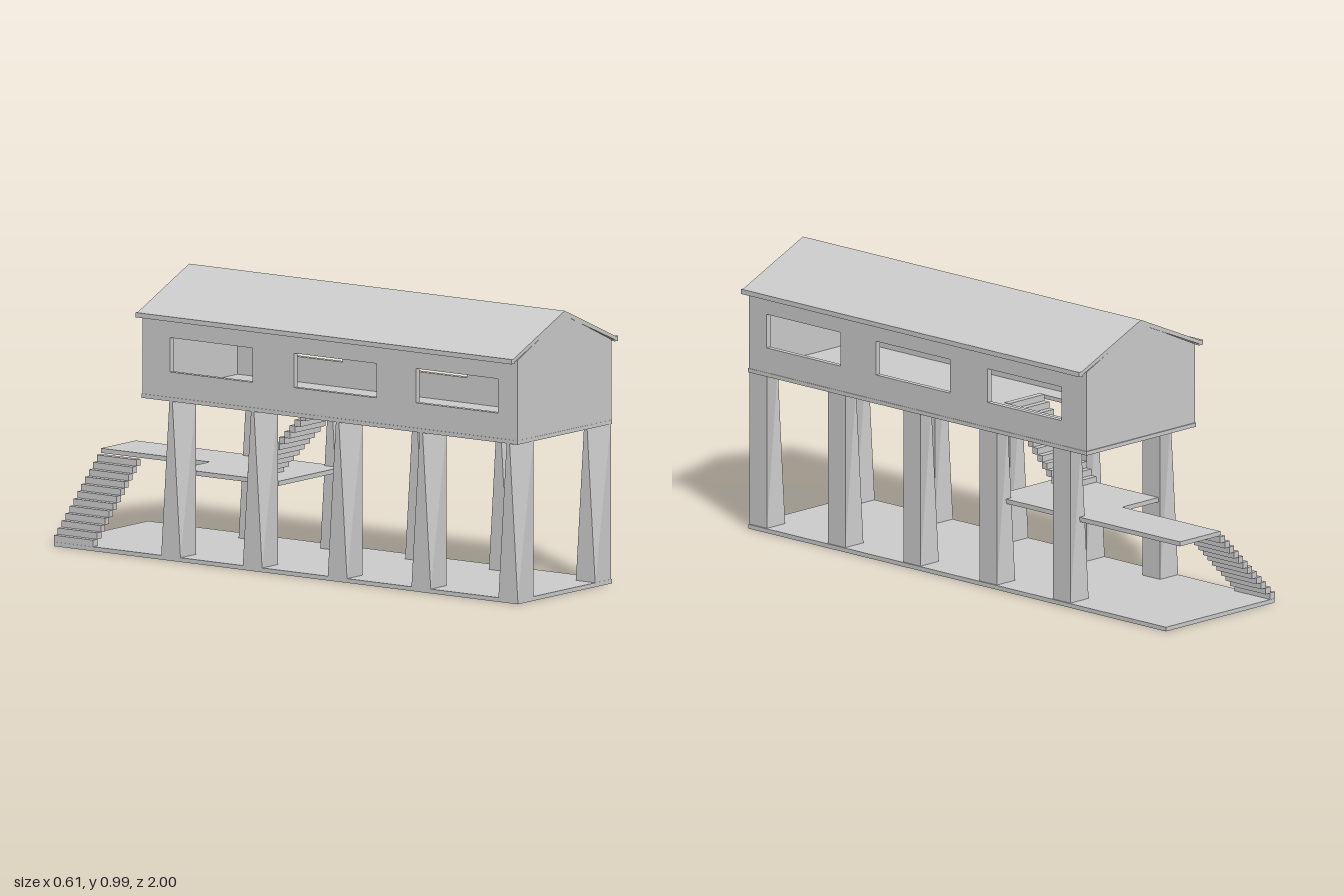
import * as THREE from 'three';

const material = new THREE.MeshStandardMaterial({ color: 0xcccccc, flatShading: true });

function rectPath(target, x0, y0, x1, y1) {
  target.moveTo(x0, y0);
  target.lineTo(x1, y0);
  target.lineTo(x1, y1);
  target.lineTo(x0, y1);
  target.closePath();
  return target;
}

function polygon(points) {
  return new THREE.Shape(points.map(([x, y]) => new THREE.Vector2(x, y)));
}

function extrude(shape, depth) {
  return new THREE.ExtrudeGeometry(shape, { depth, bevelEnabled: false });
}

// Horizontal slab from an outline in x and z, with its upper face at top
function slab(shape, top, thickness) {
  return extrude(shape, thickness).rotateX(Math.PI / 2).translate(0, top, 0);
}

// Column whose -x side narrows towards the top
function pillarGeometry() {
  const height = 0.547;
  const geometry = new THREE.BoxGeometry(0.09, height, 0.083);
  const pos = geometry.attributes.position;
  for (let i = 0; i < pos.count; i++) {
    if (pos.getX(i) < 0 && pos.getY(i) > 0) pos.setZ(i, pos.getZ(i) * 0.15);
  }
  geometry.translate(0, 0.014 + height / 2, 0);
  geometry.computeVertexNormals();
  return geometry;
}

export function createModel() {
  const model = new THREE.Group();
  const add = (name, geometry, parent = model) => {
    const mesh = new THREE.Mesh(geometry, material);
    mesh.name = name;
    parent.add(mesh);
    return mesh;
  };

  // Ground slab
  add('basePlate', new THREE.BoxGeometry(0.54, 0.015, 2).translate(0, 0.0075, 0));

  // Two rows of five pillars
  const pillars = new THREE.Group();
  pillars.name = 'pillars';
  const pillar = pillarGeometry();
  for (const x of [-0.225, 0.22]) {
    for (const z of [0.958, 0.583, 0.222, -0.144, -0.496]) {
      add('pillar', pillar, pillars).position.set(x, 0, z);
    }
  }
  model.add(pillars);

  // House floor with the stairwell opening
  const floor = rectPath(new THREE.Shape(), -0.272, -0.622, 0.272, 1);
  floor.holes.push(rectPath(new THREE.Path(), -0.18, -0.28, -0.005, 0.04));
  add('houseFloor', slab(floor, 0.572, 0.014));

  // Long walls with three windows each
  const wall = rectPath(new THREE.Shape(), -0.617, 0.57, 0.998, 0.855);
  for (const [z0, z1] of [[0.56, 0.915], [0.035, 0.39], [-0.5, -0.145]]) {
    wall.holes.push(rectPath(new THREE.Path(), z0, 0.66, z1, 0.78));
  }
  for (const [name, x] of [['leftWall', 0.27], ['rightWall', -0.25]]) {
    add(name, extrude(wall, 0.02).rotateY(-Math.PI / 2).translate(x, 0, 0));
  }

  // Solid gable walls at both ends
  const gable = polygon([[-0.27, 0.57], [0.27, 0.57], [0.27, 0.853], [0, 0.976], [-0.27, 0.853]]);
  add('frontGable', extrude(gable, 0.02).translate(0, 0, 0.979));
  add('backGable', extrude(gable, 0.02).translate(0, 0, -0.618));

  // Pitched roof with small turned-down eaves
  const roofSide = [[0.295, 0.861], [0.307, 0.861], [0.307, 0.844], [0.288, 0.844], [0.288, 0.85]];
  const roof = polygon([
    [0, 0.99], ...roofSide, [0, 0.973],
    ...roofSide.map(([x, y]) => [-x, y]).reverse(),
  ]);
  add('roof', extrude(roof, 1.62).translate(0, 0, -0.62));

  // L-shaped landing between the two flights
  const landing = polygon([[0, -1], [0.2, -1], [0.2, -0.1], [-0.18, -0.1], [-0.18, -0.53], [0, -0.53]]);
  add('landing', slab(landing, 0.306, 0.016));

  // Lower flight climbs along x at the back
  const lower = new THREE.Group();
  lower.name = 'lowerStairs';
  const rise = 0.0225;
  const lowerStep = new THREE.BoxGeometry(0.024, 0.023, 0.17);
  for (let i = 0; i < 12; i++) {
    add('lowerStep', lowerStep, lower).position.set(-0.259 + i * rise, 0.027 + i * rise, -0.915);
  }
  model.add(lower);

  // Upper flight climbs towards the front into the stairwell
  const upper = new THREE.Group();
  upper.name = 'upperStairs';
  const upperStep = new THREE.BoxGeometry(0.175, 0.023, 0.024);
  for (let i = 0; i < 12; i++) {
    add('upperStep', upperStep, upper).position.set(-0.0925, 0.315 + i * rise, -0.22 + i * rise);
  }
  model.add(upper);

  return model;
}
